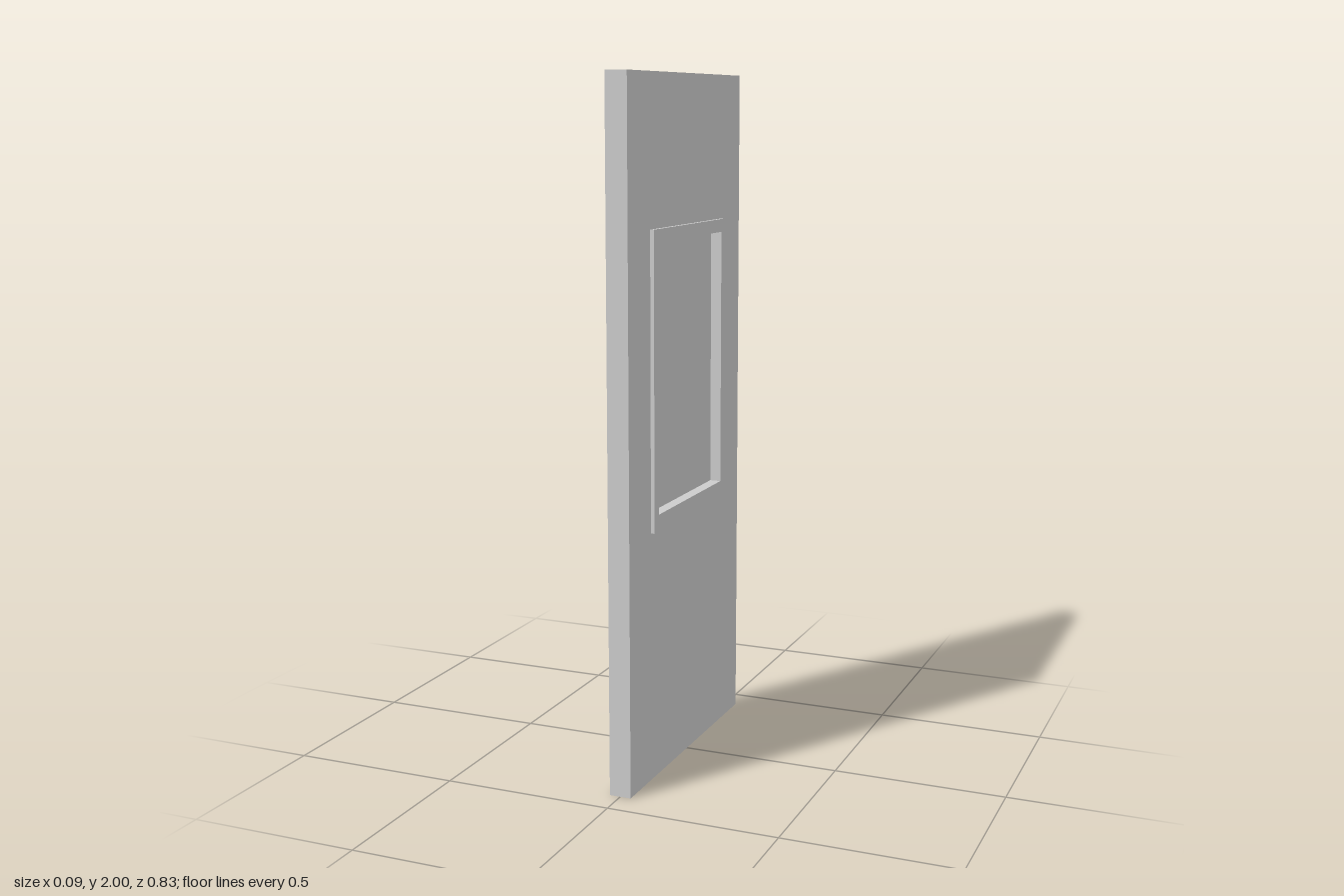
import * as THREE from 'three';

const material = new THREE.MeshStandardMaterial({ color: 0xcccccc });

// Window opening and its trim, as [left, bottom, right, top] across the door
const OPENING = [-0.237, 0.778, 0.24, 1.54];
const TRIM = [-0.267, 0.73, 0.273, 1.578];
const DOOR = [-0.415, 0, 0.415, 2];

function trace(path, [l, b, r, t]) {
  path.moveTo(l, b);
  path.lineTo(r, b);
  path.lineTo(r, t);
  path.lineTo(l, t);
  path.closePath();
  return path;
}

// Rectangular slab with a rectangular hole, its thickness running along x
function slab(name, outer, hole, x0, x1) {
  const shape = trace(new THREE.Shape(), outer);
  if (hole) shape.holes.push(trace(new THREE.Path(), hole));
  const geometry = new THREE.ExtrudeGeometry(shape, { depth: x1 - x0, bevelEnabled: false });
  geometry.translate(0, 0, x0).rotateY(Math.PI / 2);
  const mesh = new THREE.Mesh(geometry, material);
  mesh.name = name;
  return mesh;
}

export function createModel() {
  const group = new THREE.Group();
  group.name = 'door';

  // Door leaf with window opening
  group.add(slab('doorLeaf', DOOR, OPENING, -0.032, 0.032));

  // Raised window trim on both faces
  group.add(slab('windowTrimLeft', TRIM, OPENING, 0.032, 0.043));
  group.add(slab('windowTrimRight', TRIM, OPENING, -0.043, -0.032));

  // Recessed pane in the middle of the opening
  group.add(slab('windowPane', OPENING, null, -0.01, 0.01));

  return group;
}
